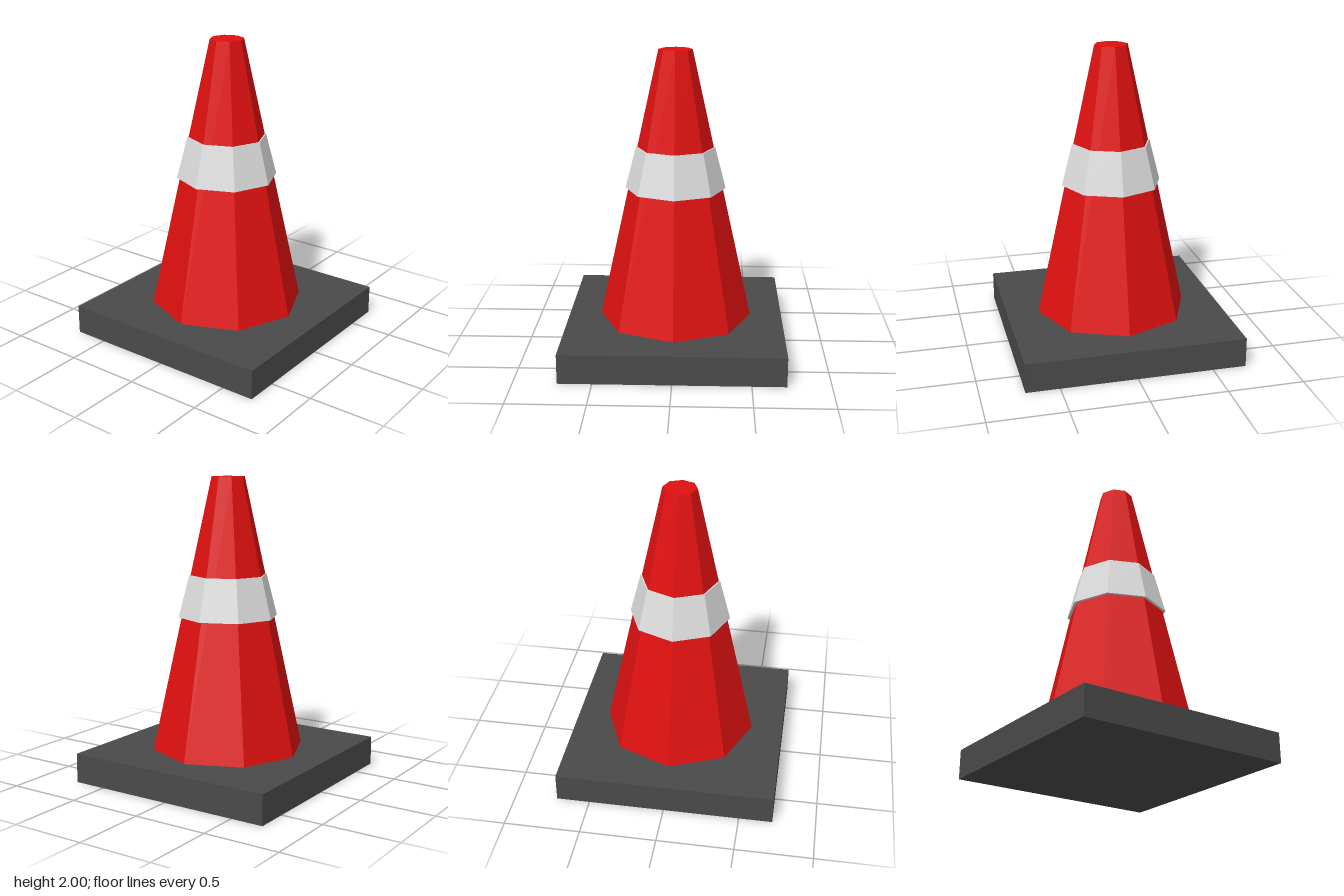
import * as THREE from 'three';

const SIDES = 8;

export function createModel() {
  const model = new THREE.Group();
  model.name = 'trafficCone';

  const material = (name, color) => {
    const m = new THREE.MeshStandardMaterial({ color, flatShading: true });
    m.name = name;
    return m;
  };
  const red = material('coneRed', 0xe01010);
  const white = material('bandWhite', 0xdddddd);
  const grey = material('baseGrey', 0x4a4a4a);

  const add = (name, geometry, mat, y) => {
    const mesh = new THREE.Mesh(geometry, mat);
    mesh.name = name;
    mesh.position.y = y;
    model.add(mesh);
  };
  // Octagonal frustum between two heights
  const addFrustum = (name, mat, bottomR, topR, y0, y1) =>
    add(name, new THREE.CylinderGeometry(topR, bottomR, y1 - y0, SIDES), mat, (y0 + y1) / 2);

  // Square base slab
  add('base', new THREE.BoxGeometry(1.44, 0.195, 1.44), grey, 0.0975);

  // Tapered body with a flat tip
  addFrustum('coneBody', red, 0.508, 0.11, 0.195, 2);

  // Reflective band standing slightly proud of the body
  addFrustum('reflectiveBand', white, 0.332, 0.26, 1.083, 1.36);

  return model;
}
